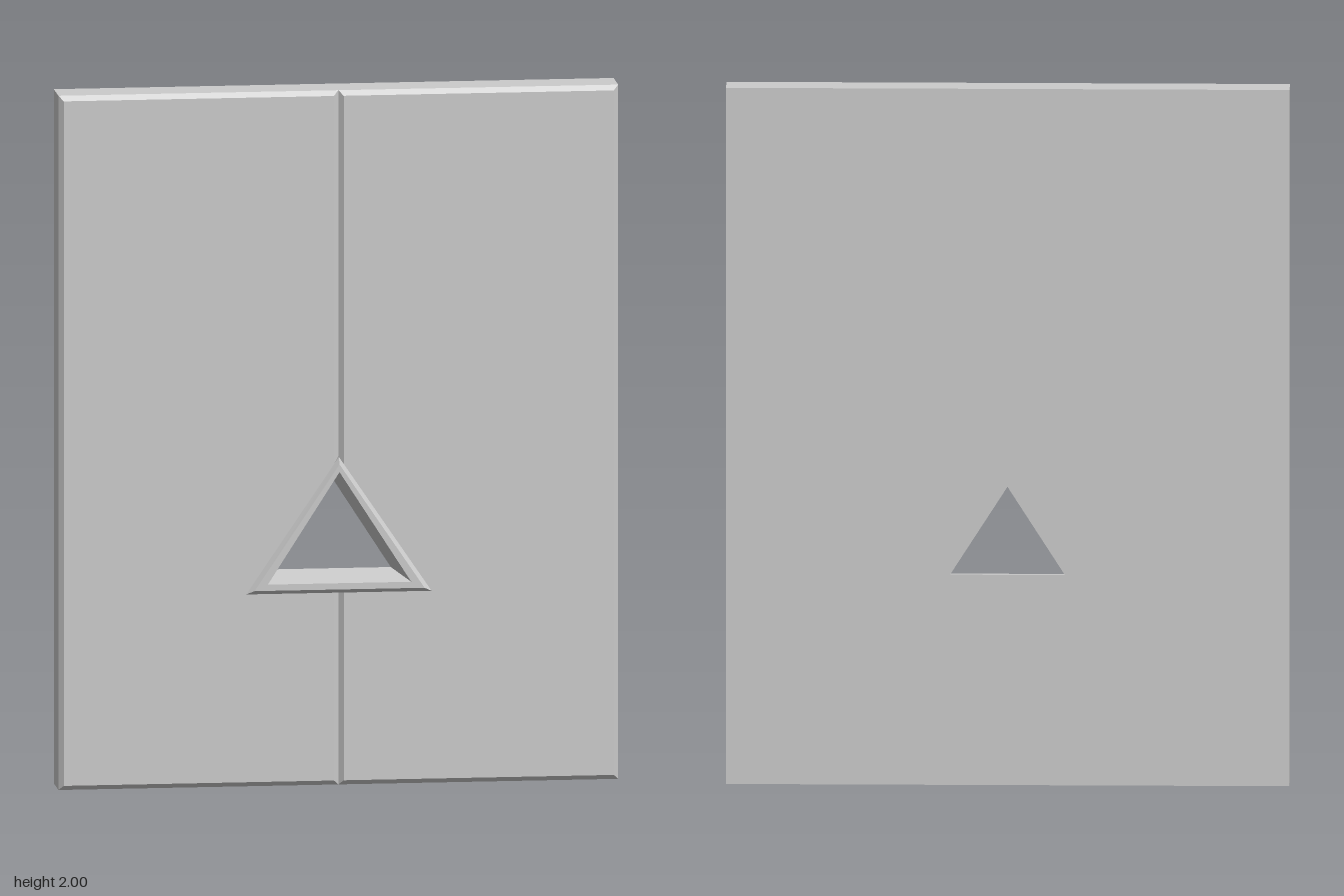
import * as THREE from 'three';

const BACK = -0.071, EDGE = 0.04, FACE = 0.054, FRONT = 0.071;
const W = 0.8, H = 2, BEVEL = 0.014;

// Flat-shaded skin through matching outlines, each { z, pts: [[x, y], ...] } counter-clockwise
function skin(loops, { closed = false, caps = false } = {}) {
  const n = loops[0].pts.length;
  const pos = loops.flatMap(l => l.pts.flatMap(([x, y]) => [x, y, l.z]));
  const index = [];
  const bands = closed ? loops.length : loops.length - 1;
  for (let k = 0; k < bands; k++) {
    const k2 = (k + 1) % loops.length;
    for (let i = 0; i < n; i++) {
      const j = (i + 1) % n;
      const a = k * n + i, b = k * n + j, c = k2 * n + j, d = k2 * n + i;
      index.push(a, b, c, a, c, d);
    }
  }
  if (caps) {
    const cap = (k, flip) => {
      const contour = loops[k].pts.map(([x, y]) => new THREE.Vector2(x, y));
      for (const [a, b, c] of THREE.ShapeUtils.triangulateShape(contour, [])) {
        const f = flip ? [c, b, a] : [a, b, c];
        index.push(...f.map(v => v + k * n));
      }
    };
    cap(0, true);
    cap(loops.length - 1, false);
  }
  const geo = new THREE.BufferGeometry();
  geo.setAttribute('position', new THREE.Float32BufferAttribute(pos, 3));
  geo.setIndex(index);
  const flat = geo.toNonIndexed();
  flat.computeVertexNormals();
  return flat;
}

// Triangular opening, widening from back to front
function opening(z) {
  const t = (z - BACK) / (FRONT - BACK);
  const mix = (a, b) => a + (b - a) * t;
  return { apex: mix(0.857, 0.905), base: mix(0.604, 0.585), half: mix(0.163, 0.205) };
}

const triangle = ({ apex, base, half }) => [[-half, base], [half, base], [0, apex]];

// Outline of one door leaf with its half of the opening cut out
function leafOutline(z, inset, side) {
  const { apex, base, half } = opening(z);
  const pts = [
    [inset, inset], [W - inset, inset], [W - inset, H - inset], [inset, H - inset],
    [inset, apex], [half, base], [inset, base],
  ];
  return { z, pts: side > 0 ? pts : pts.map(([x, y]) => [-x, y]).reverse() };
}

export function createModel() {
  const group = new THREE.Group();
  group.name = 'doublePanel';
  const material = new THREE.MeshStandardMaterial({ color: 0xcccccc, flatShading: true });
  const add = (name, geo) => {
    const mesh = new THREE.Mesh(geo, material);
    mesh.name = name;
    group.add(mesh);
  };

  // Two leaves whose bevelled front edges form the centre groove
  for (const [name, side] of [['leftPanel', 1], ['rightPanel', -1]]) {
    add(name, skin([
      leafOutline(BACK, 0, side),
      leafOutline(EDGE, 0, side),
      leafOutline(FACE, BEVEL, side),
    ], { caps: true }));
  }

  // Raised bevelled frame around the opening
  const outer = triangle({ apex: 0.946, base: 0.555, half: 0.265 });
  const rim = triangle({ apex: 0.927, base: 0.567, half: 0.243 });
  add('triangularFrame', skin([
    { z: EDGE, pts: outer },
    { z: FACE, pts: outer },
    { z: FRONT, pts: rim },
    { z: FRONT, pts: triangle(opening(FRONT)) },
    { z: EDGE, pts: triangle(opening(EDGE)) },
  ], { closed: true }));

  return group;
}
